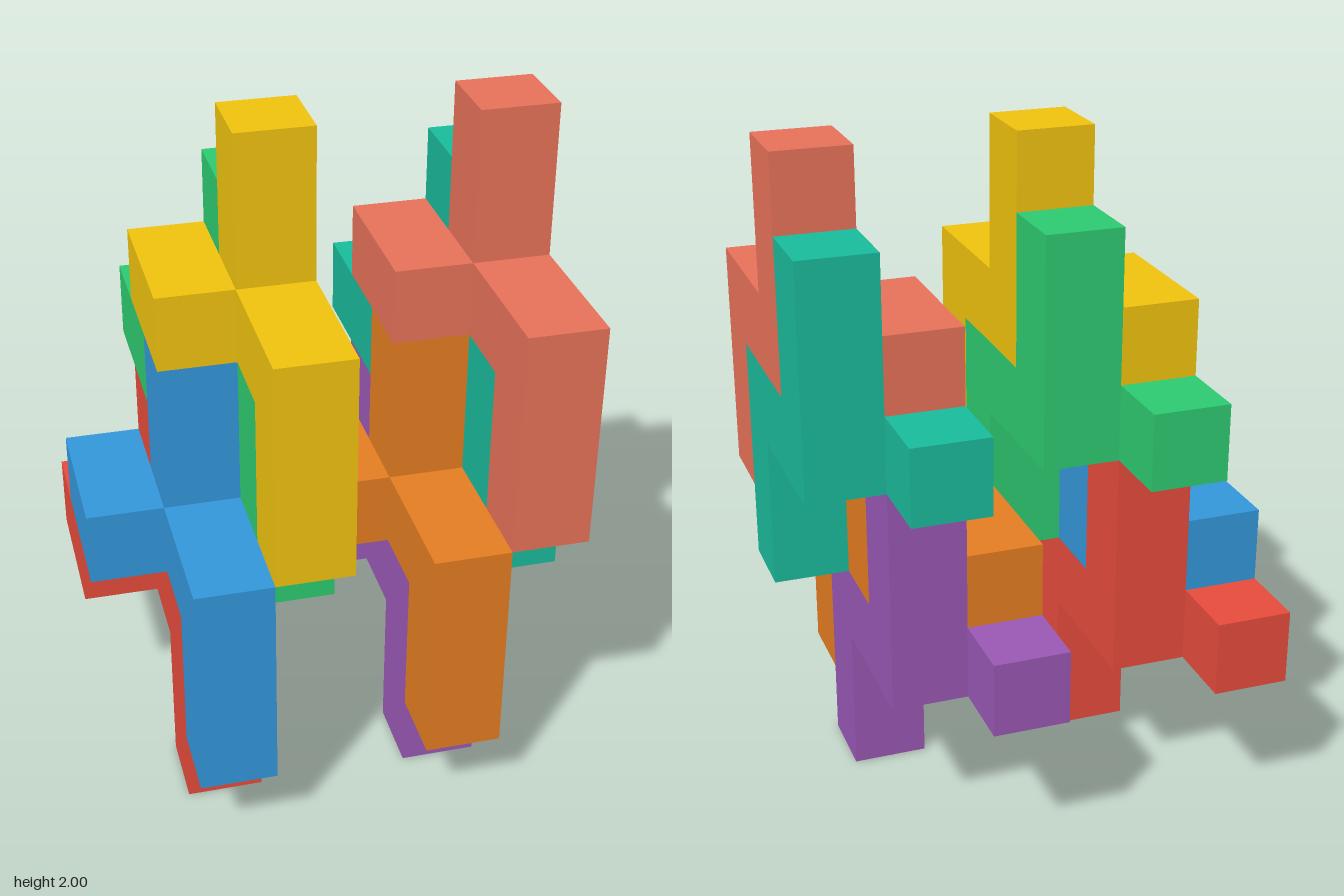
import * as THREE from 'three';

const U = 2 / 9; // edge of one cube cell

export function createModel() {
  const model = new THREE.Group();
  model.name = 'interlockingBlocks';

  // Stepped side profile in cells: first axis runs backward, second upward
  const profile = new THREE.Shape(
    [[0, 0], [1, 0], [1, 2], [3, 2], [3, 5], [2, 5], [2, 3], [0, 3]]
      .map(([s, y]) => new THREE.Vector2(s * U, y * U)));
  const bodyGeometry = new THREE.ExtrudeGeometry(profile, { depth: U, bevelEnabled: false });
  bodyGeometry.rotateY(Math.PI / 2);

  // Two-cell arm on the right of the body, reaching one cell behind it
  const armGeometry = new THREE.BoxGeometry(U, U, 2 * U);
  armGeometry.translate(-0.5 * U, 2.5 * U, -3 * U);

  // Every piece has the same shape; position is its lower front corner in cells
  const addPiece = (name, color, x, y, z) => {
    const material = new THREE.MeshStandardMaterial({ color });
    const piece = new THREE.Group();
    piece.name = name;
    const body = new THREE.Mesh(bodyGeometry, material);
    body.name = 'steppedBody';
    const arm = new THREE.Mesh(armGeometry, material);
    arm.name = 'sideArm';
    piece.add(body, arm);
    piece.position.set(x * U, y * U, z * U);
    model.add(piece);
  };

  // Four nested pieces per stack: [name, left colour, right colour, x, y, z]
  const stack = [
    ['UpperFrontPiece', 0xe8735a, 0xf1c40f, 2, 4, 2.5],
    ['UpperBackPiece', 0x1abc9c, 0x2ecc71, 2, 3, 1.5],
    ['LowerFrontPiece', 0xe67e22, 0x3498db, 1, 1, 2.5],
    ['LowerBackPiece', 0x9b59b6, 0xe74c3c, 1, 0, 1.5],
  ];
  for (const [name, leftColor, rightColor, x, y, z] of stack) {
    addPiece('left' + name, leftColor, x, y, z);
    addPiece('right' + name, rightColor, x - 3, y, z);
  }

  return model;
}
